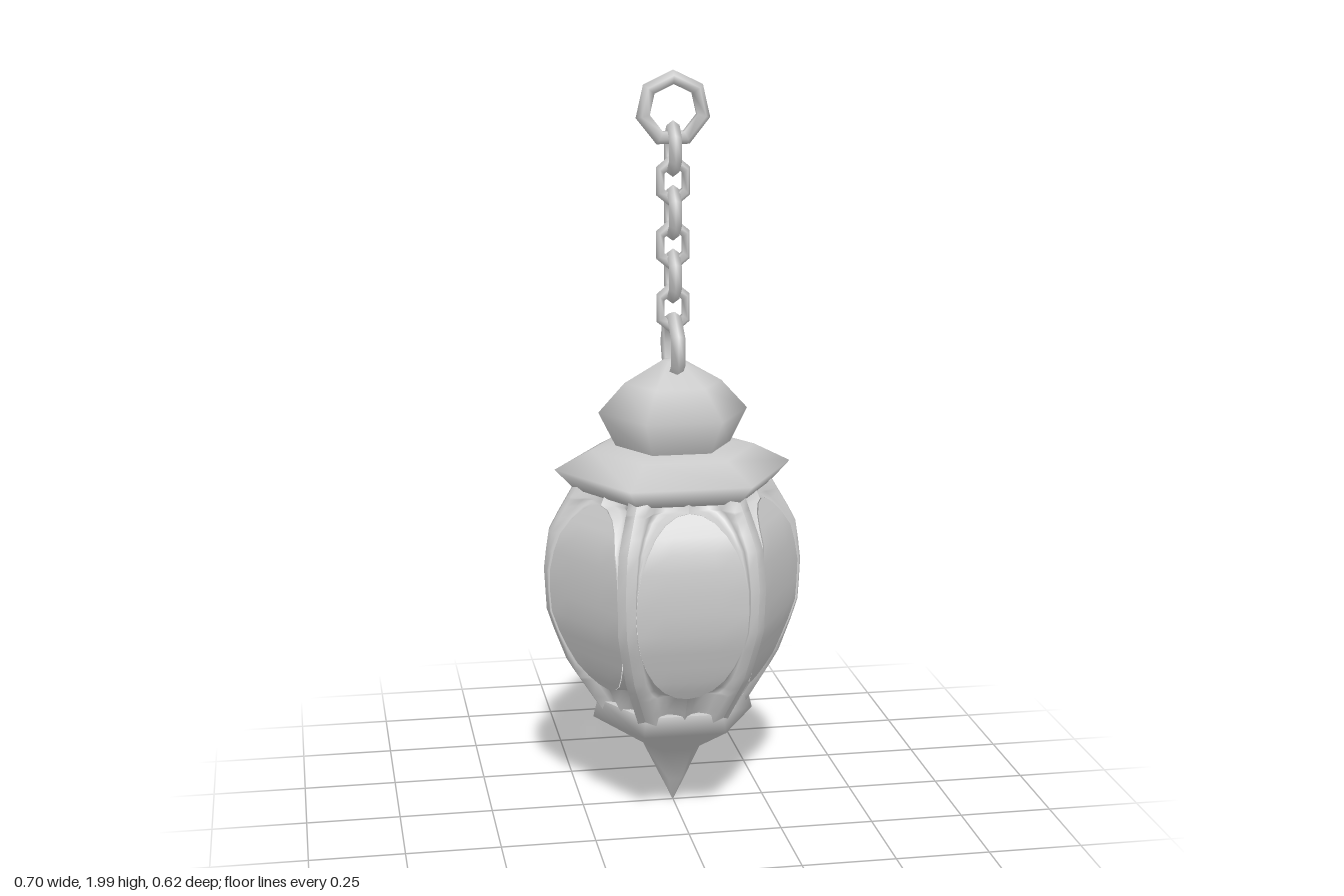
import * as THREE from 'three';

const grey = new THREE.MeshStandardMaterial({ color: 0xcccccc, side: THREE.DoubleSide });

function addMesh(parent, name, geometry) {
  const mesh = new THREE.Mesh(geometry, grey);
  mesh.name = name;
  parent.add(mesh);
  return mesh;
}

// Smooth surface from a grid of points: columns run to the right, rows upward.
function grid(rows, cols, pointAt) {
  const pos = [], index = [];
  for (let j = 0; j < rows; j++) {
    for (let i = 0; i < cols; i++) {
      pos.push(...pointAt(j, i));
      if (i && j) {
        const d = j * cols + i, c = d - 1, b = d - cols, a = b - 1;
        index.push(a, b, d, a, d, c);
      }
    }
  }
  const g = new THREE.BufferGeometry();
  g.setAttribute('position', new THREE.Float32BufferAttribute(pos, 3));
  g.setIndex(index);
  g.computeVertexNormals();
  return g;
}

// Six-sided turned part with corners on the x axis.
function hexLathe(points) {
  return new THREE.LatheGeometry(points.map(p => new THREE.Vector2(...p)), 6, Math.PI / 2);
}

// Corner radius of the lantern body at height y.
const bodyProfile = [[0.29, 0.2], [0.43, 0.29], [0.57, 0.343], [0.7, 0.35], [0.8, 0.335], [0.92, 0.265]];
function bodyRadius(y) {
  let k = 1;
  while (k < bodyProfile.length - 1 && bodyProfile[k][0] < y) k++;
  const [y0, r0] = bodyProfile[k - 1], [y1, r1] = bodyProfile[k];
  return r0 + (r1 - r0) * (y - y0) / (y1 - y0);
}

// Oval window in each face.
const windowY = 0.635, windowW = 0.148, windowH = 0.255;
const ovalRows = Array.from({ length: 15 }, (_, i) => windowY - windowH * Math.cos(Math.PI * i / 14));
const frameRows = [0.29, 0.33, ...ovalRows, 0.92];
const ovalHalf = y => windowW * Math.sqrt(Math.max(0, 1 - ((y - windowY) / windowH) ** 2));

// Half of one face: recessed spandrel from the oval to a raised corner rib.
function frameHalf(side) {
  const steps = [0, 0.25, 0.5, 0.75, 1, 2];
  const order = side > 0 ? steps : [...steps].reverse();
  return grid(frameRows.length, steps.length, (j, i) => {
    const y = frameRows[j], s = order[i], r = bodyRadius(y);
    const inner = ovalHalf(y), shoulder = Math.max(r / 2 - 0.025, inner + 0.002);
    const apothem = r * 0.866;
    if (s === 2) return [side * r / 2, y, apothem];
    const width = shoulder - inner;
    const recess = Math.min(0.035, width * 0.5) * Math.sin(Math.PI * s);
    return [side * (inner + width * s), y, apothem + 0.009 * s - recess];
  });
}

function glassPane() {
  return grid(ovalRows.length, 5, (j, i) => {
    const y = ovalRows[j];
    return [ovalHalf(y) * (i / 2 - 1), y, bodyRadius(y) * 0.866 + 0.003];
  });
}

export function createModel() {
  const model = new THREE.Group();
  model.name = 'hangingLantern';

  // Turned parts
  addMesh(model, 'bottomFinial', hexLathe([[0, 0.01], [0.035, 0.08], [0.083, 0.18], [0.22, 0.265], [0.208, 0.315]]));
  addMesh(model, 'bottomFinialTop', hexLathe([[0.208, 0.315], [0, 0.318]]));
  addMesh(model, 'roofRim', hexLathe([[0, 0.9], [0.265, 0.905], [0.318, 0.96], [0.22, 1.01], [0.15, 1.02]]));
  addMesh(model, 'roofDome', hexLathe([[0.15, 1.01], [0.2, 1.11], [0.13, 1.187], [0.03, 1.245], [0, 1.25]]));

  // Six body faces
  const left = frameHalf(1), right = frameHalf(-1), pane = glassPane();
  for (let k = 0; k < 6; k++) {
    const face = new THREE.Group();
    face.name = 'bodyFace' + (k + 1);
    face.rotation.y = k * Math.PI / 3;
    addMesh(face, 'frameLeft', left);
    addMesh(face, 'frameRight', right);
    addMesh(face, 'windowPane', pane);
    model.add(face);
  }

  // Rings at both ends of the chain
  const ring = new THREE.TorusGeometry(0.08, 0.02, 5, 7);
  const topRing = addMesh(model, 'topRing', ring);
  topRing.position.y = 1.902;
  topRing.rotation.z = Math.PI / 2;
  const baseRing = addMesh(model, 'bottomRing', ring);
  baseRing.position.y = 1.28;
  baseRing.rotation.set(0, Math.PI / 2, 0);

  // Chain of alternating links
  const link = new THREE.TorusGeometry(0.055, 0.018, 5, 6);
  link.rotateZ(Math.PI / 6);
  link.scale(0.7, 1, 1);
  for (let k = 0; k < 6; k++) {
    const mesh = addMesh(model, 'chainLink' + (k + 1), link);
    mesh.position.y = 1.8 - k * 0.083;
    mesh.rotation.y = k % 2 ? 0 : Math.PI / 2;
  }
  return model;
}
